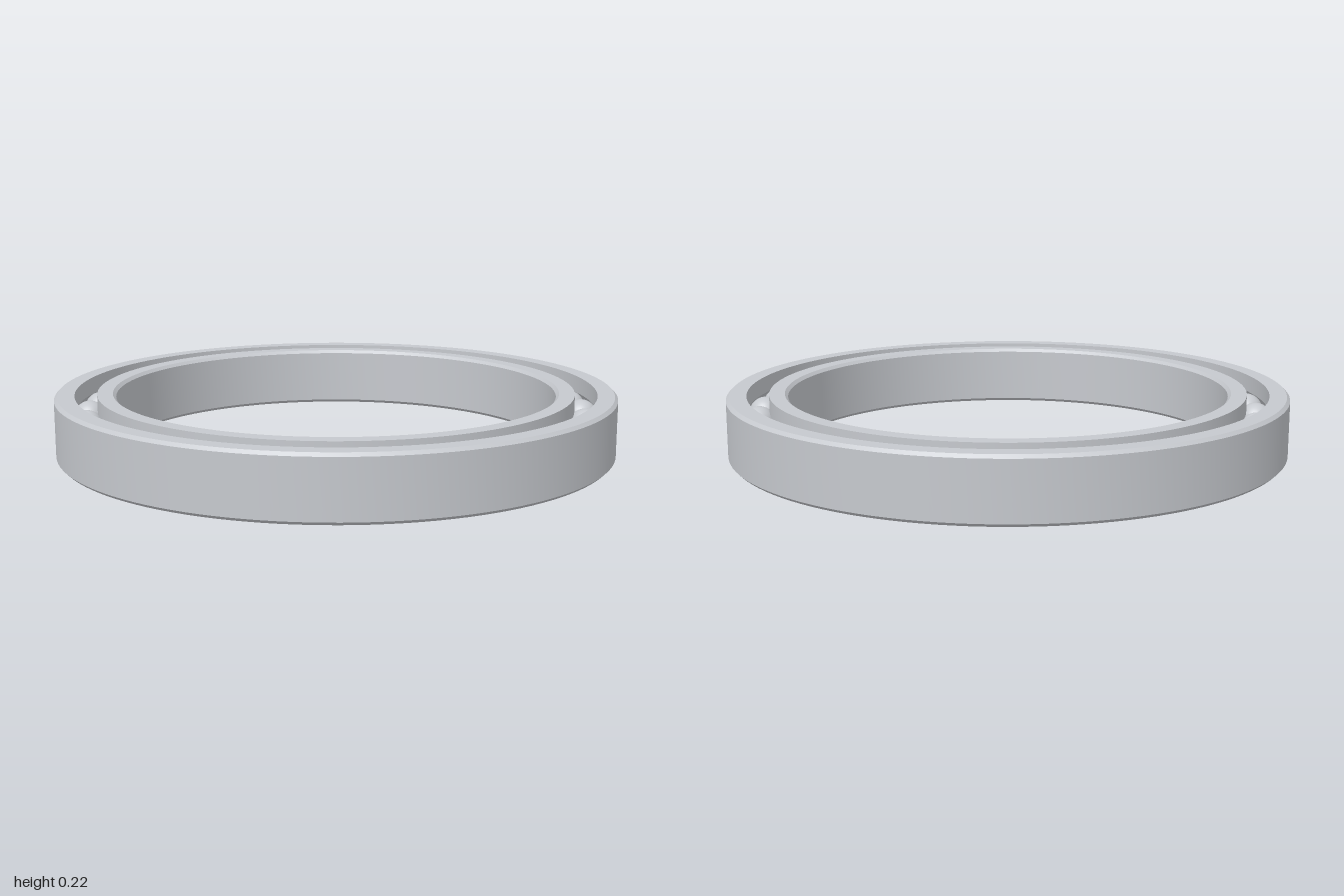
import * as THREE from 'three';
import { toCreasedNormals } from 'three/addons/utils/BufferGeometryUtils.js';

const H = 0.22;          // ring height
const C = 0.011;         // chamfer
const PITCH = 0.89;      // radius of the ball circle
const BALL = 0.06;       // ball radius
const RACE = 0.062;      // groove radius
const GAP = 0.039;       // half the gap between the rings
const BORE = 0.785;
const BALLS = 34;

const steel = new THREE.MeshStandardMaterial({ color: 0xc6c9ce });
steel.name = 'steel';

// Groove cross-section points between two angles around the ball centre
function groove(from, to, steps = 10) {
  return Array.from({ length: steps + 1 }, (_, i) => {
    const a = from + ((to - from) * i) / steps;
    return [PITCH + RACE * Math.cos(a), H / 2 + RACE * Math.sin(a)];
  });
}

// Revolve a closed, counter-clockwise cross-section
function ring(name, profile) {
  const points = [...profile, profile[0]].map(([x, y]) => new THREE.Vector2(x, y));
  const geometry = toCreasedNormals(new THREE.LatheGeometry(points, 128), 0.5);
  const mesh = new THREE.Mesh(geometry, steel);
  mesh.name = name;
  return mesh;
}

export function createModel() {
  const model = new THREE.Group();
  model.name = 'ballBearing';
  const a = Math.acos(GAP / RACE);
  const outer = PITCH + GAP;
  const inner = PITCH - GAP;

  model.add(ring('outerRing', [
    [1 - C, 0], [1, C], [1, H - C], [1 - C, H],
    [outer, H], ...groove(a, -a), [outer, 0],
  ]));

  model.add(ring('innerRing', [
    [inner, 0], ...groove(Math.PI + a, Math.PI - a), [inner, H],
    [BORE + C, H], [BORE, H - C], [BORE, C], [BORE + C, 0],
  ]));

  // Balls evenly spaced in the raceway
  const balls = new THREE.Group();
  balls.name = 'balls';
  const ballGeometry = new THREE.SphereGeometry(BALL, 32, 20);
  for (let i = 0; i < BALLS; i++) {
    const t = (i / BALLS) * Math.PI * 2;
    const ball = new THREE.Mesh(ballGeometry, steel);
    ball.name = 'ball';
    ball.position.set(PITCH * Math.cos(t), H / 2, PITCH * Math.sin(t));
    balls.add(ball);
  }
  model.add(balls);
  return model;
}
